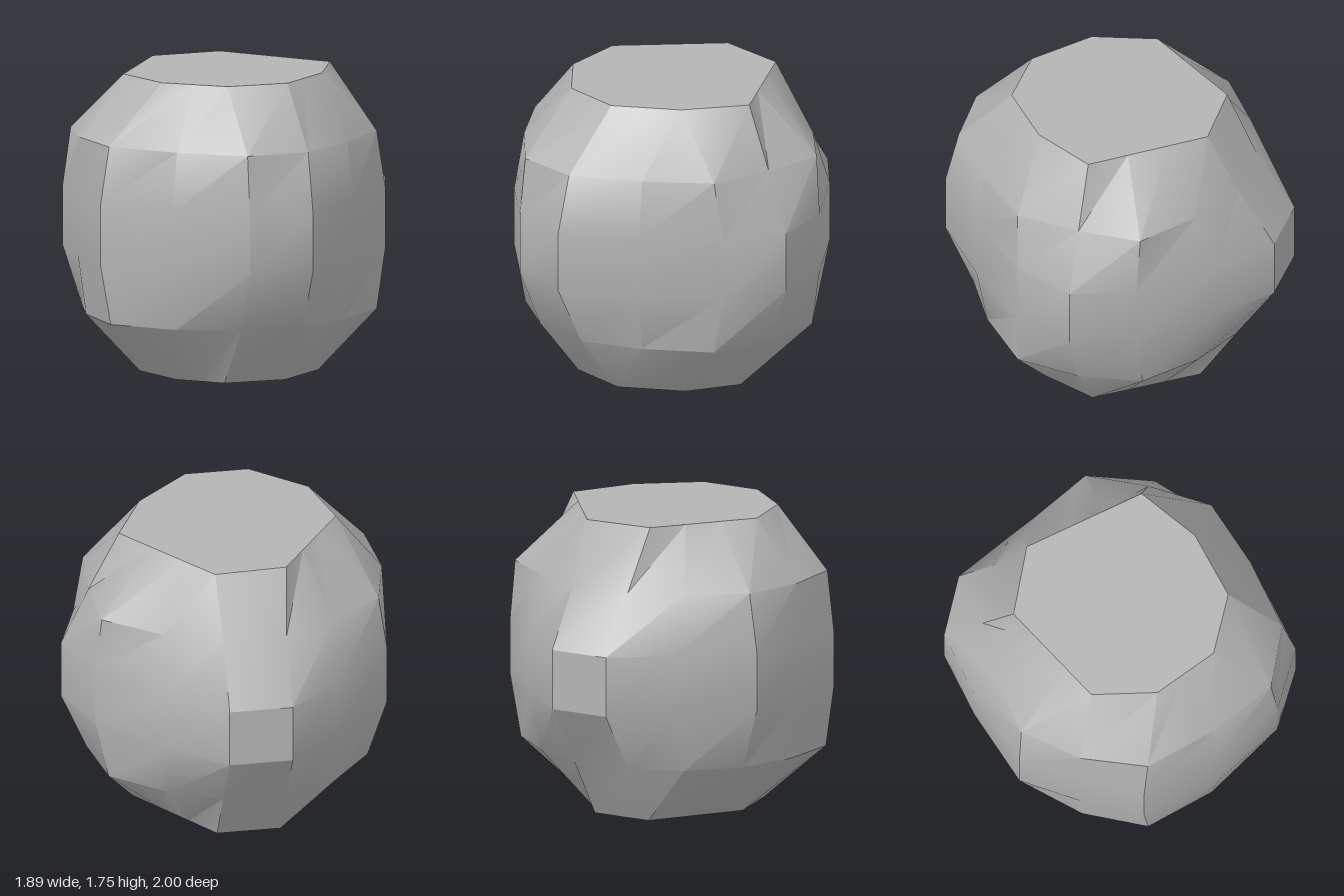
import * as THREE from 'three';
import { toCreasedNormals } from 'three/addons/utils/BufferGeometryUtils.js';

// Outlines as x, z pairs, counterclockwise from the front
const girth = [-0.26, 0.98, 0.12, 1, 0.48, 0.69, 0.81, 0.33, 0.94, -0.03, 0.8, -0.39, 0.43, -0.76,
  0.11, -1, -0.26, -1, -0.57, -0.75, -0.91, -0.4, -0.95, -0.03, -0.95, 0.35, -0.64, 0.72];
const lowerShoulder = [-0.26, 0.83, 0.12, 0.83, 0.44, 0.64, 0.75, 0.35, 0.79, -0.03, 0.72, -0.4, 0.42, -0.64,
  0.11, -0.77, -0.26, -0.77, -0.57, -0.65, -0.8, -0.38, -0.9, -0.03, -0.89, 0.36, -0.6, 0.67];
const upperShoulder = [-0.26, 0.94, 0.12, 0.92, 0.46, 0.65, 0.75, 0.35, 0.78, -0.03, 0.76, -0.4, 0.44, -0.63,
  0.11, -0.78, -0.26, -0.77, -0.56, -0.63, -0.86, -0.4, -0.94, -0.03, -0.9, 0.36, -0.6, 0.68];

// The flat base and top are octagons
const base = [-0.26, 0.55, 0.11, 0.55, 0.41, 0.29, 0.52, -0.03, 0.11, -0.55, -0.26, -0.55, -0.57, -0.03, -0.48, 0.33];
const top = [-0.26, 0.6, 0.11, 0.6, 0.42, 0.33, 0.6, -0.03, 0.13, -0.6, -0.29, -0.58, -0.67, -0.03, -0.57, 0.34];

function toPoints(pairs) {
  return Array.from({ length: pairs.length / 2 }, (_, i) => new THREE.Vector2(pairs[2 * i], pairs[2 * i + 1]));
}

// Split the long octagon edges so they meet the fourteen columns of the sides
function splitOctagon(pairs) {
  const steps = [1, 2, 1, 3, 1, 3, 1, 2];
  const corners = toPoints(pairs);
  return corners.flatMap((corner, i) => Array.from({ length: steps[i] }, (_, k) =>
    corner.clone().lerp(corners[(i + 1) % corners.length], k / steps[i])));
}

function loft(sections) {
  const sides = sections[0].ring.length;
  const positions = [];
  const index = [];
  for (const { y, ring } of sections) {
    for (const p of ring) positions.push(p.x, y, p.y);
  }
  // Walls between neighbouring sections
  for (let s = 0; s < sections.length - 1; s++) {
    for (let i = 0; i < sides; i++) {
      const a = s * sides + i, b = s * sides + (i + 1) % sides;
      index.push(a, b, b + sides, a, b + sides, a + sides);
    }
  }
  // Flat base and top, fanned from their centres
  const low = positions.length / 3, high = low + 1;
  const last = (sections.length - 1) * sides;
  positions.push(0, sections[0].y, 0, 0, sections[sections.length - 1].y, 0);
  for (let i = 0; i < sides; i++) {
    const next = (i + 1) % sides;
    index.push(low, next, i, high, last + i, last + next);
  }
  const geometry = new THREE.BufferGeometry();
  geometry.setAttribute('position', new THREE.Float32BufferAttribute(positions, 3));
  geometry.setIndex(index);
  return toCreasedNormals(geometry, THREE.MathUtils.degToRad(30));
}

export function createModel() {
  const group = new THREE.Group();
  group.name = 'boulder';

  const stone = new THREE.MeshStandardMaterial({ color: 0xb4b4b4 });
  stone.name = 'grey stone';

  const rock = new THREE.Mesh(loft([
    { y: 0, ring: splitOctagon(base) },
    { y: 0.35, ring: toPoints(lowerShoulder) },
    { y: 0.7, ring: toPoints(girth) },
    { y: 1.05, ring: toPoints(girth) },
    { y: 1.39, ring: toPoints(upperShoulder) },
    { y: 1.745, ring: splitOctagon(top) },
  ]), stone);
  rock.name = 'rock';
  group.add(rock);
  return group;
}
